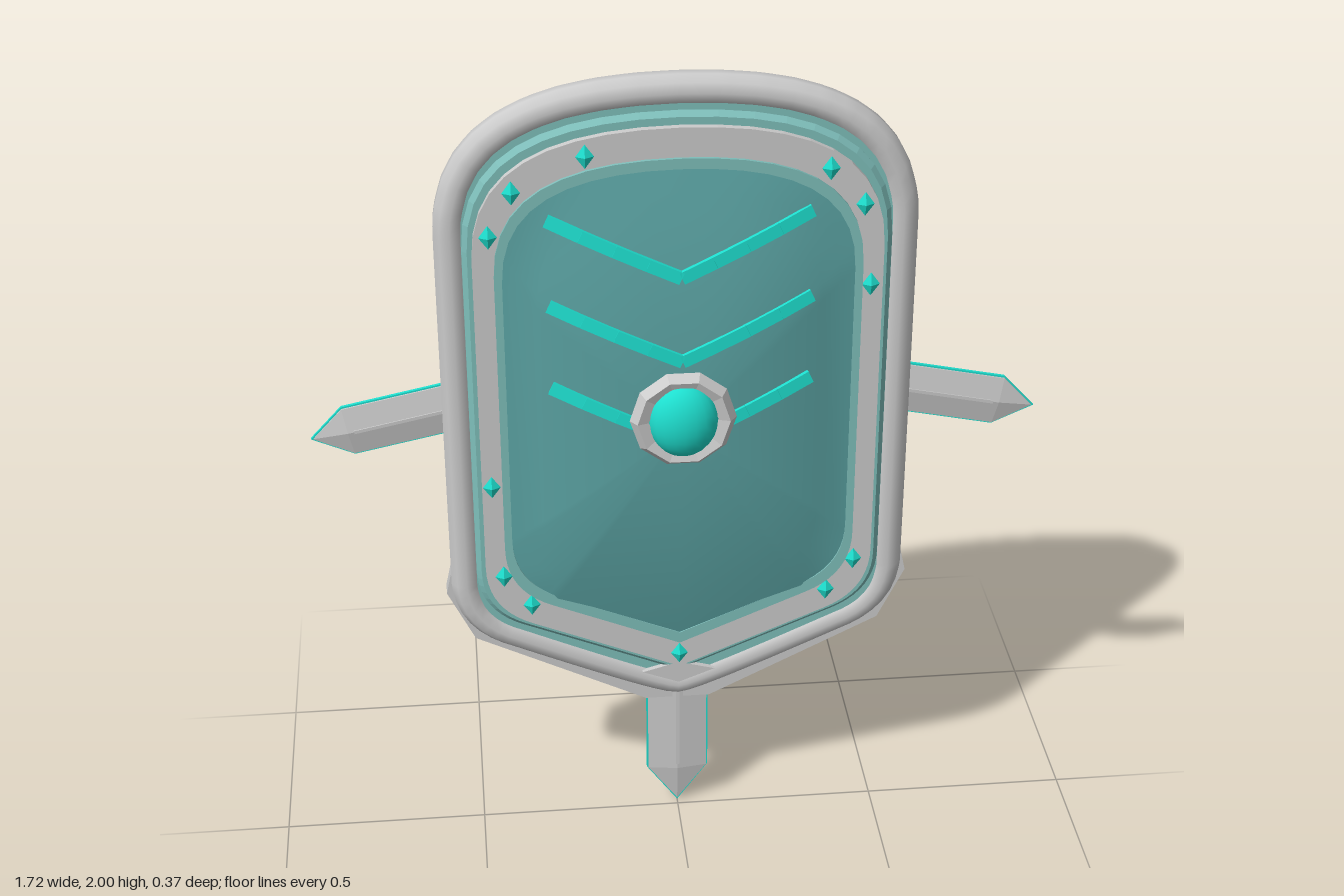
import * as THREE from 'three';
import { ConvexGeometry } from 'three/addons/geometries/ConvexGeometry.js';

const mat = (color, extra = {}) => new THREE.MeshStandardMaterial({ color, ...extra });
const steel = mat(0xcccccc);
const flatSteel = mat(0xcccccc, { flatShading: true });
const teal = mat(0x7fbfbb);
const deepTeal = mat(0x5ba3a3);
const glow = mat(0x1ee0d0);
const glowFlat = mat(0x1ee0d0, { flatShading: true });
const brown = mat(0x2b1a12);
const black = mat(0x121212);

const CENTRE_Y = 1.18;

function add(parent, name, geometry, material, x = 0, y = 0, z = 0) {
  const mesh = new THREE.Mesh(geometry, material);
  mesh.name = name;
  mesh.position.set(x, y, z);
  parent.add(mesh);
  return mesh;
}

// Shield outline: rounded shoulders, straight sides, pointed foot
function outline(w, top, tip, Kind = THREE.Shape) {
  const slope = 0.42, drop = 0.65 * w, corner = tip + slope * w;
  const s = new Kind();
  s.moveTo(0, tip);
  s.lineTo(w - 0.11, corner - 0.11 * slope);
  s.quadraticCurveTo(w, corner, w, corner + 0.12);
  s.lineTo(w, top - drop);
  s.bezierCurveTo(w, top - drop * 0.27, w * 0.63, top, 0, top);
  s.bezierCurveTo(-w * 0.63, top, -w, top - drop * 0.27, -w, top - drop);
  s.lineTo(-w, corner + 0.12);
  s.quadraticCurveTo(-w, corner, -w + 0.11, corner - 0.11 * slope);
  s.closePath();
  return s;
}

function plate(shape, z0, z1, bevel = 0) {
  const g = new THREE.ExtrudeGeometry(shape, {
    depth: z1 - z0 - 2 * bevel, curveSegments: 10, bevelEnabled: bevel > 0,
    bevelSize: bevel, bevelThickness: bevel, bevelOffset: -bevel, bevelSegments: 1,
  });
  return g.translate(0, 0, z0 + bevel);
}

function ring(outer, inner) {
  const s = outline(...outer);
  s.holes.push(outline(...inner, THREE.Path));
  return s;
}

function outlinePoints(shape) {
  const pts = shape.getPoints(10);
  if (pts[0].distanceTo(pts[pts.length - 1]) < 1e-5) pts.pop();
  return pts;
}

// Curved skin made of shrinking copies of an outline; side is +1 front, -1 back
function skin(shape, height, side) {
  const pts = outlinePoints(shape), n = pts.length, rings = 10;
  const pos = [], index = [];
  for (let r = 0; r <= rings; r++) {
    const k = 1 - r / rings;
    for (const p of pts) {
      const x = p.x * k, y = CENTRE_Y + (p.y - CENTRE_Y) * k;
      pos.push(x, y, height(x, y, k));
    }
  }
  for (let r = 0; r < rings; r++) for (let i = 0; i < n; i++) {
    const a = r * n + i, b = r * n + (i + 1) % n, c = a + n, d = b + n;
    if (side > 0) index.push(a, b, d, a, d, c);
    else index.push(a, d, b, a, c, d);
  }
  const g = new THREE.BufferGeometry();
  g.setAttribute('position', new THREE.Float32BufferAttribute(pos, 3));
  g.setIndex(index);
  g.computeVertexNormals();
  return g;
}

// Height of the bulging front
function domeZ(x, y) {
  const t = Math.cbrt(Math.abs(x / 0.41) ** 3 + Math.abs((y - CENTRE_Y) / 0.62) ** 3);
  return 0.045 + 0.072 * (1 - Math.min(1, t) ** 2);
}

// Ridged blade pointing down -y from its base, with a thin coloured edge
function blade(name, length, half, point) {
  const g = new THREE.Group();
  g.name = name;
  const neck = -(length - point), pts = [];
  for (const z of [-1, 1]) {
    for (const x of [-half, half]) {
      pts.push(new THREE.Vector3(x, 0, z * 0.008), new THREE.Vector3(x, neck, z * 0.008));
    }
    pts.push(new THREE.Vector3(0, 0, z * 0.019), new THREE.Vector3(0, neck, z * 0.019));
    pts.push(new THREE.Vector3(0, -length + 0.006, z * 0.006));
  }
  add(g, 'bladeBody', new ConvexGeometry(pts), flatSteel);
  const e = half + 0.004;
  const edge = new THREE.Shape([[-e, 0], [-e, neck], [0, -length], [e, neck], [e, 0]]
    .map(([x, y]) => new THREE.Vector2(x, y)));
  add(g, 'bladeEdge', plate(edge, -0.004, 0.004), glowFlat);
  add(g, 'bladeRidge', new THREE.BoxGeometry(0.008, -neck - 0.03, 0.042), flatSteel, 0, neck / 2);
  return g;
}

// Flat-sided bar between two points
function bar(parent, name, a, b, width, depth, material) {
  const m = add(parent, name, new THREE.BoxGeometry(width, depth, a.distanceTo(b)), material);
  m.position.copy(a).lerp(b, 0.5);
  m.up.set(0, 0, 1);
  m.lookAt(b);
  return m;
}

export function createModel() {
  const model = new THREE.Group();
  model.name = 'shield';

  // Body and back
  add(model, 'body', plate(outline(0.515, 1.965, 0.375), -0.08, 0.012), teal);
  add(model, 'backSkin', skin(outline(0.515, 1.965, 0.375),
    (x, y, k) => -0.08 - 0.02 * (1 - k * k), -1), teal);

  // Round outer rim
  const path = outlinePoints(outline(0.515, 1.96, 0.385)).map(p => new THREE.Vector3(p.x, p.y, -0.017));
  const rimCurve = new THREE.CatmullRomCurve3(path, true, 'catmullrom', 0.15);
  add(model, 'rim', new THREE.TubeGeometry(rimCurve, 160, 0.039, 10, true), steel);

  // Guard behind the lower corners
  const half = [[0.08, 0.335], [0.5, 0.545], [0.565, 0.68], [0.545, 0.77]];
  const guard = [...half, ...half.map(([x, y]) => [-x, y]).reverse()];
  add(model, 'lowerGuard', plate(new THREE.Shape(guard.map(p => new THREE.Vector2(...p))),
    -0.05, -0.005), flatSteel);
  const cap = [[0, 0.4], [0.09, 0.435], [0, 0.46], [-0.09, 0.435]];
  add(model, 'tipCap', plate(new THREE.Shape(cap.map(p => new THREE.Vector2(...p))), 0, 0.025), flatSteel);

  // Front layers
  add(model, 'frontStep', plate(outline(0.49, 1.92, 0.43), 0.0, 0.025, 0.012), teal);
  add(model, 'band', plate(ring([0.468, 1.89, 0.46], [0.4, 1.79, 0.57]), 0.01, 0.042), steel);
  add(model, 'innerTrim', plate(ring([0.42, 1.82, 0.535], [0.402, 1.795, 0.565]), 0.03, 0.05), teal);
  add(model, 'dome', skin(outline(0.41, 1.805, 0.555), domeZ, 1), deepTeal);

  // Studs on the band
  const studs = [[-0.21, 1.83], [-0.375, 1.75], [-0.43, 1.645], [-0.445, 1], [-0.425, 0.75], [-0.36, 0.665],
    [0, 0.5], [0.36, 0.665], [0.425, 0.75], [0.44, 1.49], [0.42, 1.69], [0.34, 1.78]];
  for (const [x, y] of studs) {
    add(model, 'stud', new THREE.OctahedronGeometry(1), glowFlat, x, y, 0.042).scale.set(0.021, 0.029, 0.012);
  }

  // Chevron strips laid over the dome
  for (const y of [1.55, 1.35, 1.145]) for (const side of [-1, 1]) {
    const steps = 4, at = i => {
      const x = side * 0.3 * i / steps, py = y + 0.135 * i / steps;
      return new THREE.Vector3(x, py, domeZ(x, py) + 0.002);
    };
    for (let i = 0; i < steps; i++) bar(model, 'chevron', at(i), at(i + 1), 0.03, 0.014, glow);
  }

  // Central boss
  add(model, 'bossRing', new THREE.TorusGeometry(0.1, 0.024, 5, 10), flatSteel, 0, 1.21, 0.13);
  add(model, 'bossGem', new THREE.SphereGeometry(1, 20, 14), glow, 0, 1.21, 0.13).scale.set(0.082, 0.095, 0.055);

  // Blades at the foot and sides
  const foot = blade('footBlade', 0.42, 0.074, 0.11);
  foot.position.set(0, 0.42, -0.022);
  model.add(foot);
  for (const side of [-1, 1]) {
    const b = blade('sideBlade', 0.37, 0.06, 0.09);
    b.position.set(side * 0.5, 1.19, -0.032);
    b.rotation.z = side * (Math.PI / 2 - 0.205);
    model.add(b);
  }

  // Strap, pad and grip on the back
  add(model, 'strap', new THREE.BoxGeometry(0.04, 1.16, 0.035), black, 0, 1.18, -0.108);
  add(model, 'armPad', new THREE.BoxGeometry(0.25, 0.125, 0.035), brown, 0, 1.53, -0.128);
  add(model, 'grip', new THREE.CylinderGeometry(0.028, 0.028, 0.38, 8).rotateZ(Math.PI / 2), brown, 0, 1.135, -0.155);
  for (const side of [-1, 1]) {
    add(model, 'gripMount', new THREE.BoxGeometry(0.05, 0.065, 0.075), black, side * 0.195, 1.135, -0.128);
  }
  return model;
}
